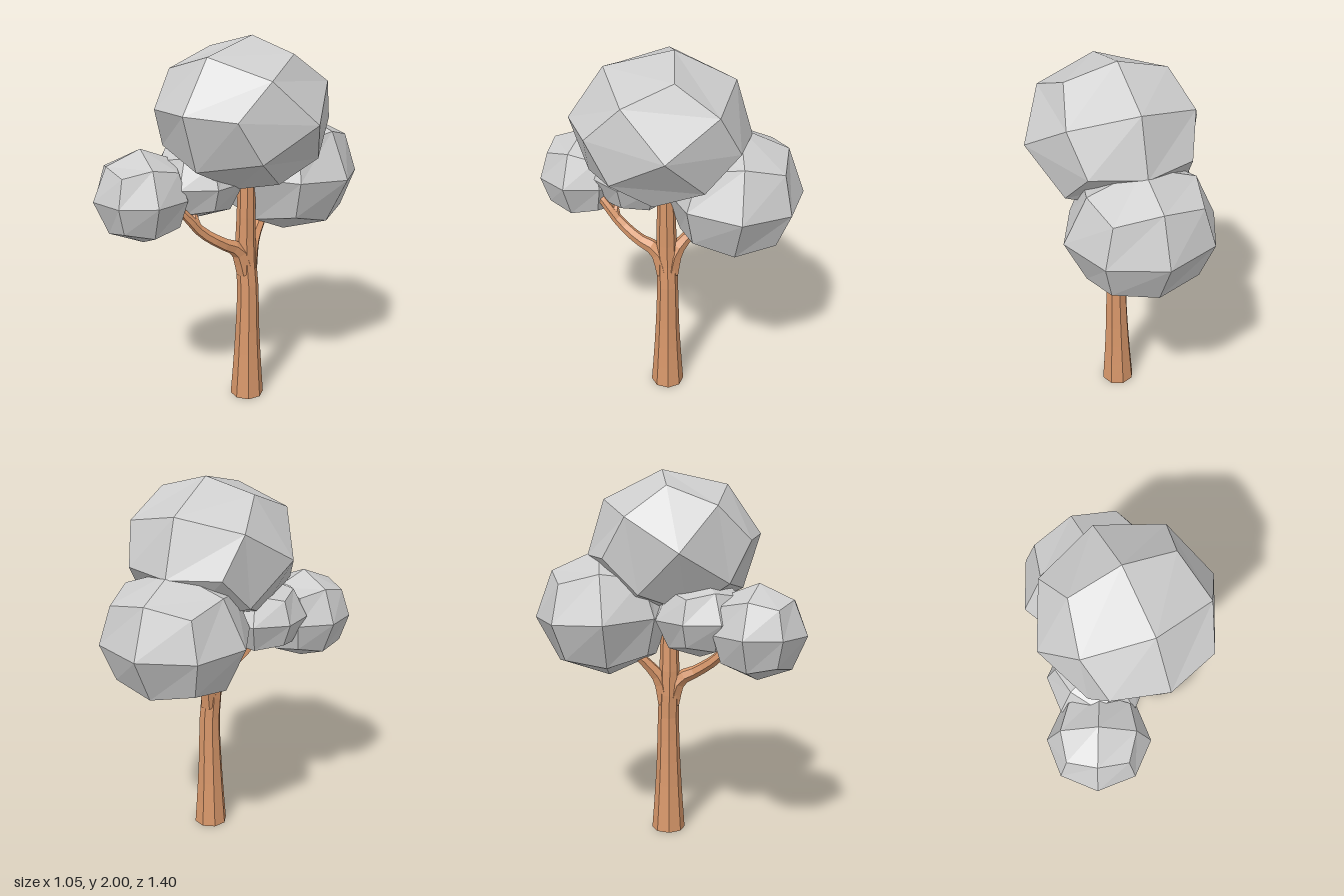
import * as THREE from 'three';

const bark = new THREE.MeshStandardMaterial({ color: 0xd8976a, flatShading: true });
bark.name = 'bark';
const leaves = new THREE.MeshStandardMaterial({ color: 0xcccccc, flatShading: true });
leaves.name = 'leaves';

// Faceted leaf clump: a 2x2x2 cube rounded to a ball, turned, then stretched
function clump(name, center, radii, rx, ry) {
  const geo = new THREE.BoxGeometry(1, 1, 1, 2, 2, 2);
  const p = geo.attributes.position;
  const v = new THREE.Vector3();
  const turn = new THREE.Euler(rx, ry, 0);
  for (let i = 0; i < p.count; i++) {
    v.fromBufferAttribute(p, i).normalize().applyEuler(turn);
    p.setXYZ(i, v.x * radii[0], v.y * radii[1], v.z * radii[2]);
  }
  geo.computeVertexNormals();
  const mesh = new THREE.Mesh(geo, leaves);
  mesh.name = name;
  mesh.position.set(...center);
  return mesh;
}

// Tapered limb along a smooth path; radii are spread evenly along its length
function limb(name, points, radii, segments, sides) {
  const curve = new THREE.CatmullRomCurve3(points.map((q) => new THREE.Vector3(...q)));
  const geo = new THREE.TubeGeometry(curve, segments, 1, sides, false);
  const p = geo.attributes.position;
  const v = new THREE.Vector3();
  for (let i = 0; i <= segments; i++) {
    const c = curve.getPointAt(i / segments);
    const f = (i / segments) * (radii.length - 1);
    const k = Math.min(Math.floor(f), radii.length - 2);
    const r = THREE.MathUtils.lerp(radii[k], radii[k + 1], f - k);
    for (let j = 0; j <= sides; j++) {
      const n = i * (sides + 1) + j;
      v.fromBufferAttribute(p, n).sub(c).multiplyScalar(r).add(c);
      p.setXYZ(n, v.x, Math.max(0, v.y), v.z);
    }
  }
  geo.computeVertexNormals();
  const mesh = new THREE.Mesh(geo, bark);
  mesh.name = name;
  return mesh;
}

export function createModel() {
  const tree = new THREE.Group();
  tree.name = 'tree';

  // Trunk, flared at the foot
  tree.add(limb('trunk',
    [[0.062, 0, 0.015], [0.065, 0.4, 0.015], [0.066, 0.65, 0.014], [0.053, 0.85, 0.018], [0.058, 1.05, 0.02], [0.06, 1.32, 0.02]],
    [0.092, 0.076, 0.064, 0.058, 0.056, 0.05, 0.045], 10, 8));
  const foot = new THREE.Mesh(new THREE.CircleGeometry(0.092, 8).rotateX(Math.PI / 2), bark);
  foot.name = 'trunkFoot';
  foot.position.set(0.062, 0.001, 0.015);
  tree.add(foot);

  // Branches
  tree.add(limb('frontBranch',
    [[0.06, 0.74, 0.03], [0.045, 0.87, 0.07], [0.015, 0.93, 0.17], [-0.04, 1.01, 0.27], [-0.07, 1.1, 0.34], [-0.1, 1.16, 0.39]],
    [0.05, 0.045, 0.034, 0.03, 0.026, 0.02], 10, 6));
  tree.add(limb('frontTwig',
    [[-0.045, 1.02, 0.28], [-0.065, 1.08, 0.29], [-0.09, 1.12, 0.27]],
    [0.022, 0.02, 0.015], 4, 6));
  tree.add(limb('backBranch',
    [[0.06, 0.74, 0], [0.055, 0.87, -0.03], [0.045, 0.95, -0.09], [0.035, 1.04, -0.18], [0.03, 1.1, -0.24]],
    [0.05, 0.045, 0.033, 0.026, 0.022], 8, 6));

  // Leaf clumps
  tree.add(clump('topLeaves', [0.063, 1.61, 0.045], [0.465, 0.392, 0.465], -THREE.MathUtils.degToRad(53), 0));
  tree.add(clump('backLeaves', [0.063, 1.245, -0.33], [0.4, 0.345, 0.37], -0.06, 0));
  tree.add(clump('frontLeaves', [-0.28, 1.2, 0.455], [0.26, 0.25, 0.255], 0, THREE.MathUtils.degToRad(-26)));
  tree.add(clump('middleLeaves', [-0.15, 1.255, 0.17], [0.26, 0.21, 0.25], 0, THREE.MathUtils.degToRad(20)));

  return tree;
}
